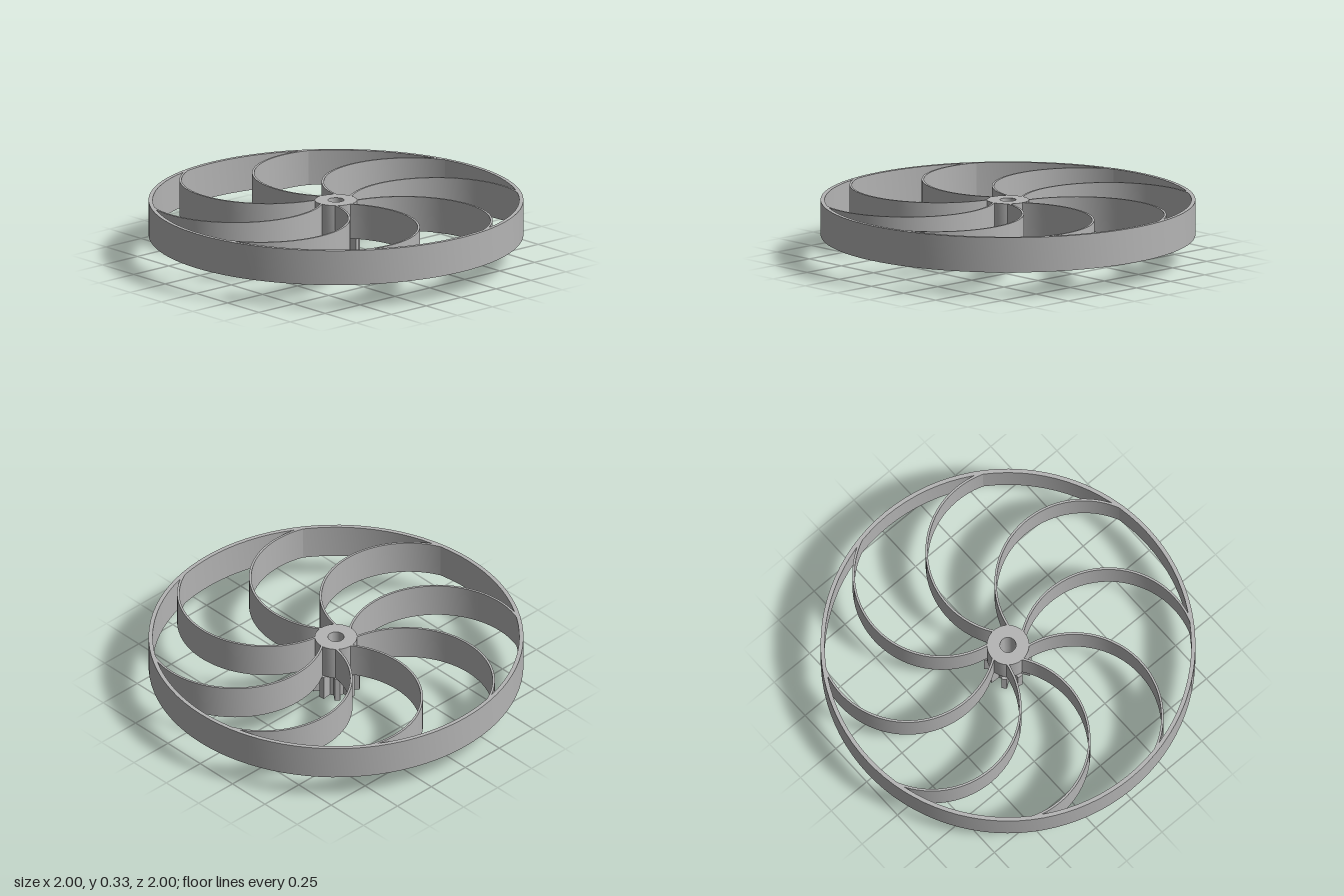
import * as THREE from 'three';
import { toCreasedNormals } from 'three/addons/utils/BufferGeometryUtils.js';

const RIM_R = 1, RIM_INNER = 0.978, HUB_R = 0.113, BORE_R = 0.043;
const WHEEL_BOTTOM = 0.14, WHEEL_TOP = 0.33;
const SPOKES = 8, TEETH = 9;

const rad = THREE.MathUtils.degToRad;
const polar = (r, a, cx = 0, cy = 0) => new THREE.Vector2(cx + r * Math.cos(a), cy + r * Math.sin(a));

function circle(r, n, Type) {
  const pts = [];
  for (let i = 0; i < n; i++) pts.push(polar(r, (i / n) * Math.PI * 2));
  return new Type(pts);
}

// Extrude a plan shape upwards from y0 to y1
function slab(name, shape, y0, y1, material) {
  let geo = new THREE.ExtrudeGeometry(shape, { depth: y1 - y0, bevelEnabled: false });
  geo.rotateX(-Math.PI / 2);
  geo.translate(0, y0, 0);
  geo = toCreasedNormals(geo, rad(25));
  const mesh = new THREE.Mesh(geo, material);
  mesh.name = name;
  return mesh;
}

// Thin circular arc, running from the hub until it meets the rim
function spokeShape() {
  const centre = 0.537, inner = 0.465, outer = 0.477, steps = 48;
  const start = rad(180 - 9), end = rad(23.5);
  const a = [], b = [];
  for (let i = 0; i <= steps; i++) {
    const t = start + (end - start) * (i / steps);
    a.push(polar(outer, t, centre));
    b.push(polar(inner, t, centre));
  }
  return new THREE.Shape([...a, ...b.reverse()]);
}

// Pinion outline with straight tapered teeth
function gearShape() {
  const tip = 0.129, root = 0.08, pts = [];
  for (let i = 0; i < TEETH; i++) {
    const mid = Math.PI + (i / TEETH) * Math.PI * 2;
    pts.push(polar(root, mid - rad(13)), polar(tip, mid - rad(6.5)),
      polar(tip, mid + rad(6.5)), polar(root, mid + rad(13)));
  }
  return new THREE.Shape(pts);
}

export function createModel() {
  const group = new THREE.Group();
  group.name = 'spokedWheel';
  const grey = new THREE.MeshStandardMaterial({ color: 0xb4b4b4 });
  grey.name = 'grey';

  // Rim
  const rim = circle(RIM_R, 96, THREE.Shape);
  rim.holes.push(circle(RIM_INNER, 96, THREE.Path));
  group.add(slab('rim', rim, WHEEL_BOTTOM, WHEEL_TOP, grey));

  // Hub with bore
  const hub = circle(HUB_R, 40, THREE.Shape);
  hub.holes.push(circle(BORE_R, 32, THREE.Path));
  group.add(slab('hub', hub, WHEEL_BOTTOM, WHEEL_TOP, grey));

  // Curved spokes
  const spokes = new THREE.Group();
  spokes.name = 'spokes';
  const first = slab('spoke', spokeShape(), WHEEL_BOTTOM, WHEEL_TOP, grey);
  for (let i = 0; i < SPOKES; i++) {
    const spoke = first.clone();
    spoke.rotation.y = (i / SPOKES) * Math.PI * 2;
    spokes.add(spoke);
  }
  group.add(spokes);

  // Pinion gear under the hub
  const gear = gearShape();
  gear.holes.push(circle(BORE_R, 32, THREE.Path));
  group.add(slab('pinionGear', gear, 0, WHEEL_BOTTOM, grey));

  return group;
}
